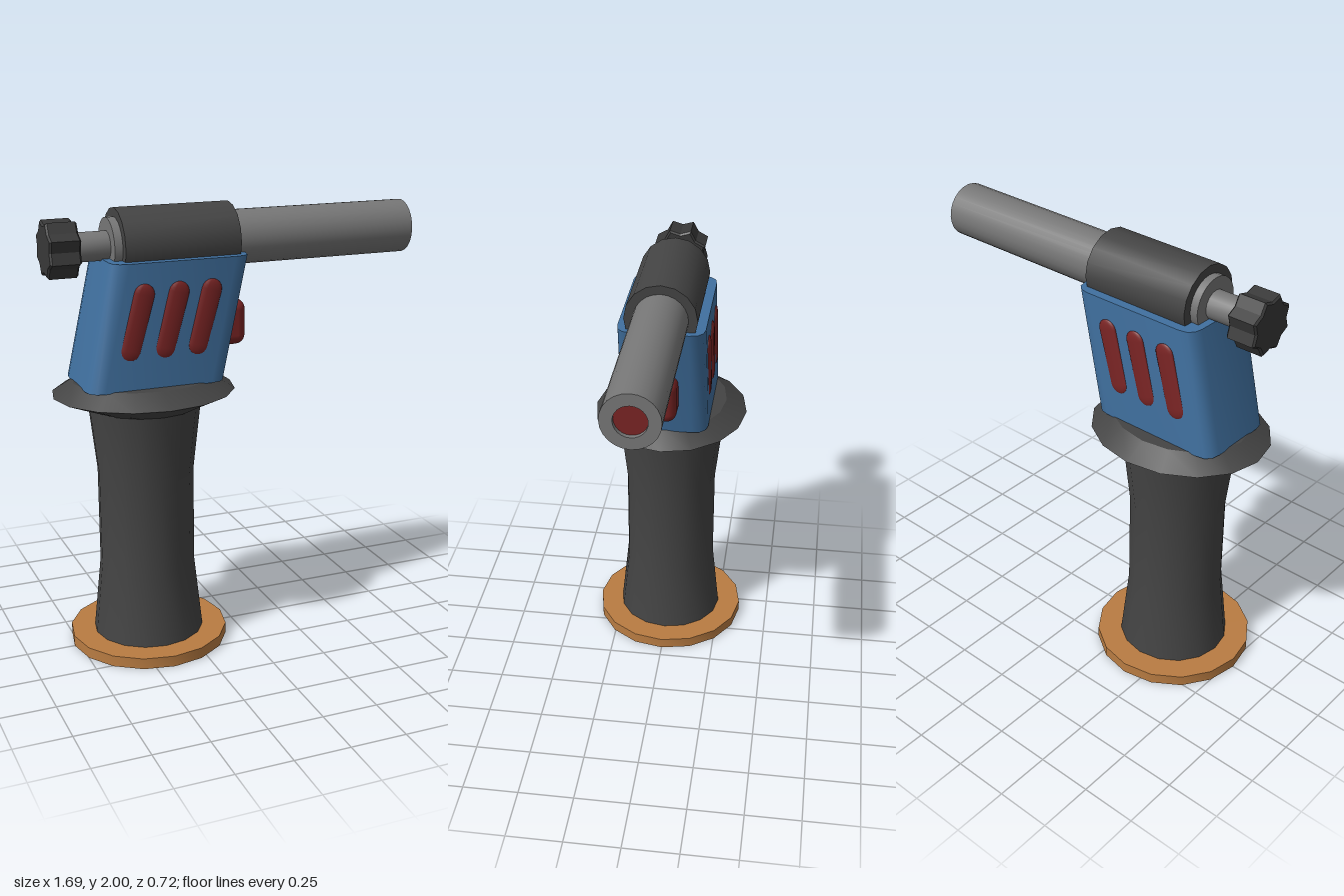
import * as THREE from 'three';
import { toCreasedNormals } from 'three/addons/utils/BufferGeometryUtils.js';
import { RoundedBoxGeometry } from 'three/addons/geometries/RoundedBoxGeometry.js';

const paint = (color) => new THREE.MeshStandardMaterial({ color });
const BLUE = paint(0x40709f), DARK = paint(0x444444), BLACK = paint(0x383838);
const STEEL = paint(0x777777), RED = paint(0x7a2424), WOOD = paint(0xb97c42);
const GRIP_X = -0.417, AXIS_Y = 1.84;

function add(parent, name, geometry, material, x = 0, y = 0, z = 0) {
  const mesh = new THREE.Mesh(geometry, material);
  mesh.name = name;
  mesh.position.set(x, y, z);
  parent.add(mesh);
  return mesh;
}

// Turned solid from [radius, height] pairs, listed bottom to top
function turned(profile, sides) {
  return new THREE.LatheGeometry(profile.map(([r, y]) => new THREE.Vector2(r, y)), sides);
}
const crease = (geometry, angle = 0.5) => toCreasedNormals(geometry, angle);

// Turned solid lying along x
const turnedX = (profile, sides) => crease(turned(profile, sides).rotateZ(-Math.PI / 2), 0.45);

// Leaning housing: rounded rectangle swept upward, sheared forward and slightly tapered
function housingGeometry() {
  const w = 0.31, d = 0.2, r = 0.07, s = new THREE.Shape();
  s.moveTo(-w + r, -d);
  s.lineTo(w - r, -d);
  s.quadraticCurveTo(w, -d, w, -d + r);
  s.lineTo(w, d - r);
  s.quadraticCurveTo(w, d, w - r, d);
  s.lineTo(-w + r, d);
  s.quadraticCurveTo(-w, d, -w, d - r);
  s.lineTo(-w, -d + r);
  s.quadraticCurveTo(-w, -d, -w + r, -d);
  const h = 0.545;
  const g = new THREE.ExtrudeGeometry(s, { depth: h, bevelEnabled: false, curveSegments: 3 });
  g.rotateX(-Math.PI / 2);
  const p = g.attributes.position;
  for (let i = 0; i < p.count; i++) {
    const t = p.getY(i) / h;
    p.setX(i, p.getX(i) + 0.12 * t);
    p.setZ(i, p.getZ(i) * (1 - 0.04 * t));
  }
  return crease(g, 0.7);
}

// Oval guard: a turned rim squeezed in z, round at the bottom
function guardGeometry() {
  const g = turned([[0, 1.13], [0.255, 1.13], [0.41, 1.19], [0.32, 1.25], [0, 1.25]], 16);
  const p = g.attributes.position;
  for (let i = 0; i < p.count; i++) {
    const y = p.getY(i);
    p.setZ(i, p.getZ(i) * (y < 1.15 ? 1 : y < 1.22 ? 0.875 : 0.82));
  }
  return crease(g);
}

// Knob with eight ridges, extruded along x
function knobGeometry() {
  const s = new THREE.Shape();
  for (let i = 0; i < 16; i++) {
    const a = (i + 1) * Math.PI / 8, r = i % 2 ? 0.104 : 0.128;
    s[i ? 'lineTo' : 'moveTo'](r * Math.cos(a), r * Math.sin(a));
  }
  s.closePath();
  const g = new THREE.ExtrudeGeometry(s, {
    depth: 0.119, bevelEnabled: true, bevelThickness: 0.008, bevelSize: 0.008, bevelOffset: -0.008, bevelSegments: 1,
  });
  return crease(g.rotateY(Math.PI / 2), 0.2);
}

export function createModel() {
  const model = new THREE.Group();
  model.name = 'handheldTool';

  // Upright handle
  add(model, 'baseDisc', crease(turned([[0, 0], [0.36, 0], [0.36, 0.05], [0, 0.05]], 16)), WOOD, GRIP_X);
  const grip = [[0, 0.04], [0.252, 0.04], [0.216, 0.38], [0.216, 0.82], [0.252, 1.14], [0, 1.14]];
  add(model, 'grip', crease(turned(grip, 16)), DARK, GRIP_X);
  add(model, 'guard', guardGeometry(), DARK, GRIP_X);

  // Housing with side slots and trigger
  add(model, 'housing', housingGeometry(), BLUE, -0.412, 1.245);
  const slots = new THREE.Group();
  slots.name = 'sideSlots';
  model.add(slots);
  for (const side of [-1, 1]) {
    for (const x of [-0.503, -0.348, -0.2]) {
      const slot = add(slots, 'sideSlot', new THREE.CapsuleGeometry(0.046, 0.245, 5, 12), RED, x, 1.54, side * 0.194);
      slot.rotation.z = -0.27;
      slot.scale.z = 0.25;
    }
  }
  add(model, 'trigger', new RoundedBoxGeometry(0.17, 0.205, 0.15, 3, 0.045), RED, -0.035, 1.467);

  // Barrel with a shallow bore
  const barrel = [[0, -0.57], [0.12, -0.57], [0.12, 0.842], [0.068, 0.842], [0.068, 0.8]];
  add(model, 'barrel', turnedX(barrel, 24), STEEL, 0, AXIS_Y);
  add(model, 'bore', new THREE.CircleGeometry(0.069, 24).rotateY(Math.PI / 2), RED, 0.822, AXIS_Y);
  const sleeve = [[0, -0.535], [0.16, -0.535], [0.16, -0.015], [0, -0.015]];
  add(model, 'barrelSleeve', turnedX(sleeve, 16), DARK, 0, AXIS_Y);

  // Rear adjuster
  add(model, 'adjusterRod', turnedX([[0, -0.73], [0.064, -0.73], [0.064, -0.56], [0, -0.56]], 16), STEEL, 0, AXIS_Y);
  add(model, 'adjusterKnob', knobGeometry(), BLACK, -0.837, AXIS_Y);
  return model;
}
